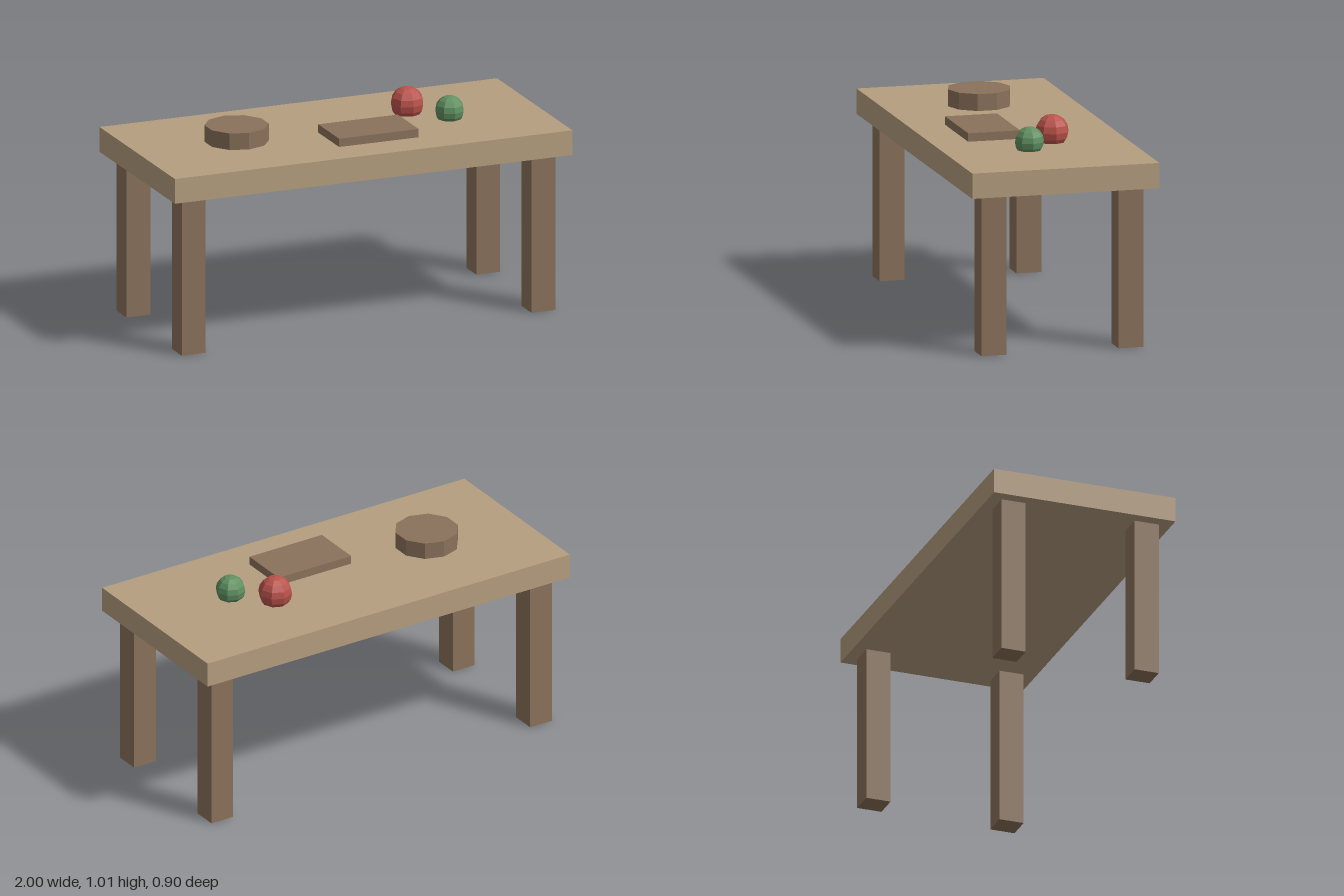
import * as THREE from 'three';

const flat = (name, color) => {
  const material = new THREE.MeshStandardMaterial({ color, flatShading: true });
  material.name = name;
  return material;
};

export function createModel() {
  const table = new THREE.Group();
  table.name = 'table';
  const lightWood = flat('light wood', 0xb59e7f);
  const darkWood = flat('dark wood', 0x8a725b);
  const red = flat('red', 0xb9524b);
  const green = flat('green', 0x5f8f60);

  const add = (name, geometry, material, x, y, z) => {
    const mesh = new THREE.Mesh(geometry, material);
    mesh.name = name;
    mesh.position.set(x, y, z);
    table.add(mesh);
  };

  // Table top, spanning y 0.76 to 0.88
  add('tableTop', new THREE.BoxGeometry(2, 0.12, 0.9), lightWood, 0, 0.82, 0);

  // Four square legs
  for (const [side, x] of [['Left', 0.88], ['Right', -0.88]]) {
    for (const [end, z] of [['front', 0.33], ['back', -0.33]]) {
      add(`${end}${side}Leg`, new THREE.BoxGeometry(0.12, 0.76, 0.12), darkWood, x, 0.38, z);
    }
  }

  // Ten-sided bowl block and flat board
  add('bowl', new THREE.CylinderGeometry(0.15, 0.15, 0.08, 10), darkWood, -0.5, 0.92, 0);
  add('board', new THREE.BoxGeometry(0.4, 0.04, 0.25), darkWood, 0.1, 0.9, 0.15);

  // Faceted fruit, sunk slightly into the top
  add('redFruit', new THREE.SphereGeometry(0.08, 8, 8), red, 0.4, 0.93, -0.1);
  add('greenFruit', new THREE.SphereGeometry(0.07, 8, 8), green, 0.55, 0.92, 0.05);

  return table;
}
